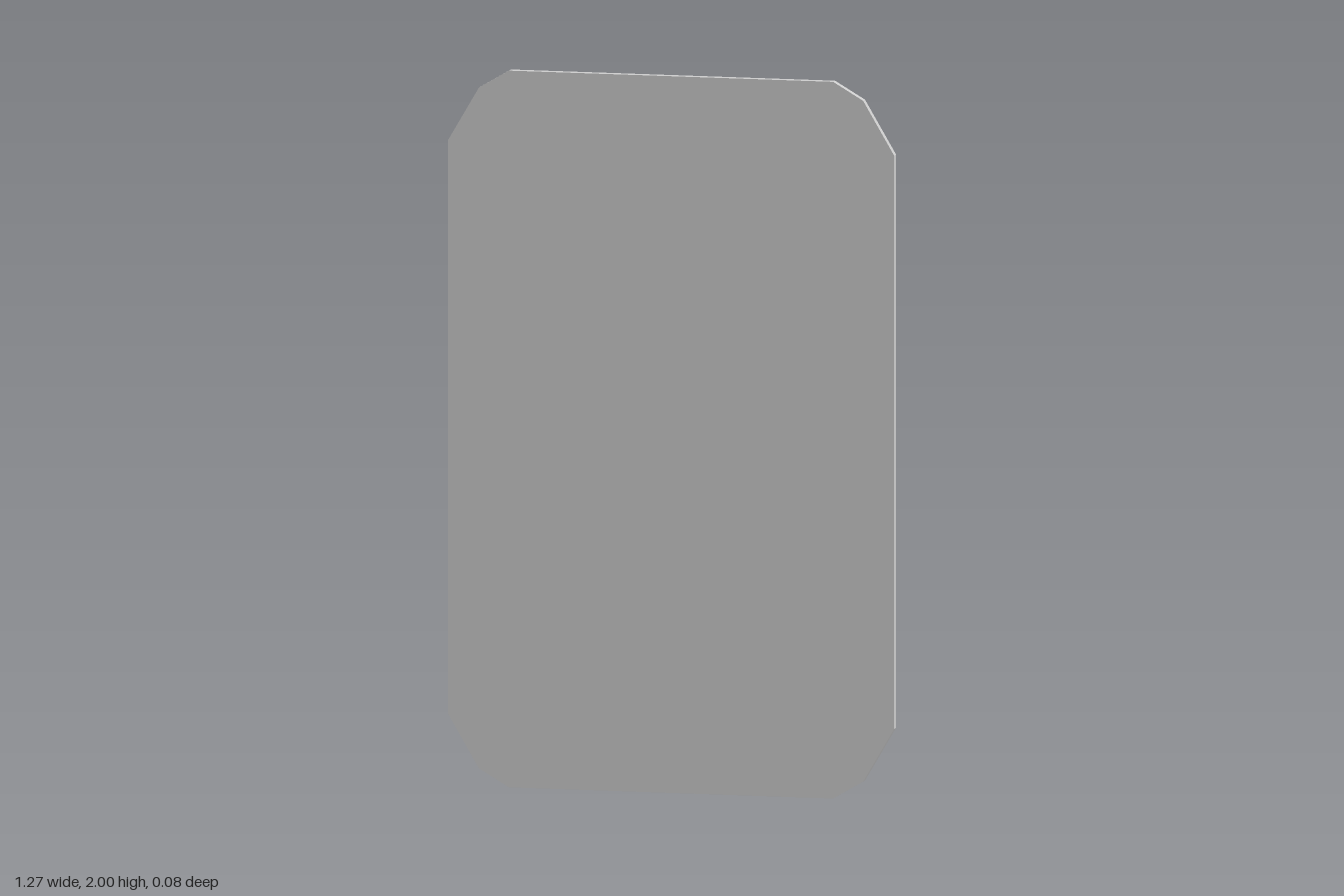
import * as THREE from 'three';

const material = () => new THREE.MeshStandardMaterial({ color: 0xcccccc, side: THREE.DoubleSide });

// Turned shape from [radius, height] pairs
function turned(name, points, segments) {
  const profile = points.map(([r, y]) => new THREE.Vector2(r, y));
  const mesh = new THREE.Mesh(new THREE.LatheGeometry(profile, segments), material());
  mesh.name = name;
  return mesh;
}

export function createModel() {
  const model = new THREE.Group();
  model.name = 'plaqueWithFlask';

  // Flat panel with two-step chamfered corners
  const corner = [[0.633, 0.8], [0.545, 0.95], [0.46, 1]];
  const back = [...corner].reverse();
  const outline = [
    ...corner,
    ...back.map(([x, y]) => [-x, y]),
    ...corner.map(([x, y]) => [-x, -y]),
    ...back.map(([x, y]) => [x, -y]),
  ].map(([x, y]) => new THREE.Vector2(x, y));
  const panel = new THREE.Mesh(
    new THREE.ExtrudeGeometry(new THREE.Shape(outline), { depth: 0.023, bevelEnabled: false }),
    material()
  );
  panel.name = 'panel';
  panel.position.set(0, 1, 0.016);
  model.add(panel);

  // Flattened round flask set into the back, leaning slightly
  const flask = new THREE.Group();
  flask.name = 'flask';
  const body = new THREE.Mesh(new THREE.SphereGeometry(0.297, 48, 32), material());
  body.name = 'flaskBody';
  const collar = turned('collar', [
    [0.105, 0.25], [0.098, 0.268], [0.088, 0.288], [0.084, 0.298], [0.05, 0.304], [0.042, 0.31],
  ], 32);
  const stopper = turned('stopper', [
    [0.042, 0.304], [0.048, 0.318], [0.067, 0.358], [0.062, 0.375], [0.046, 0.412], [0, 0.415],
  ], 32);
  flask.add(body, collar, stopper);
  flask.scale.z = 0.115;
  flask.rotation.z = 0.045;
  flask.position.set(-0.018, 0.976, -0.005);
  model.add(flask);

  return model;
}
